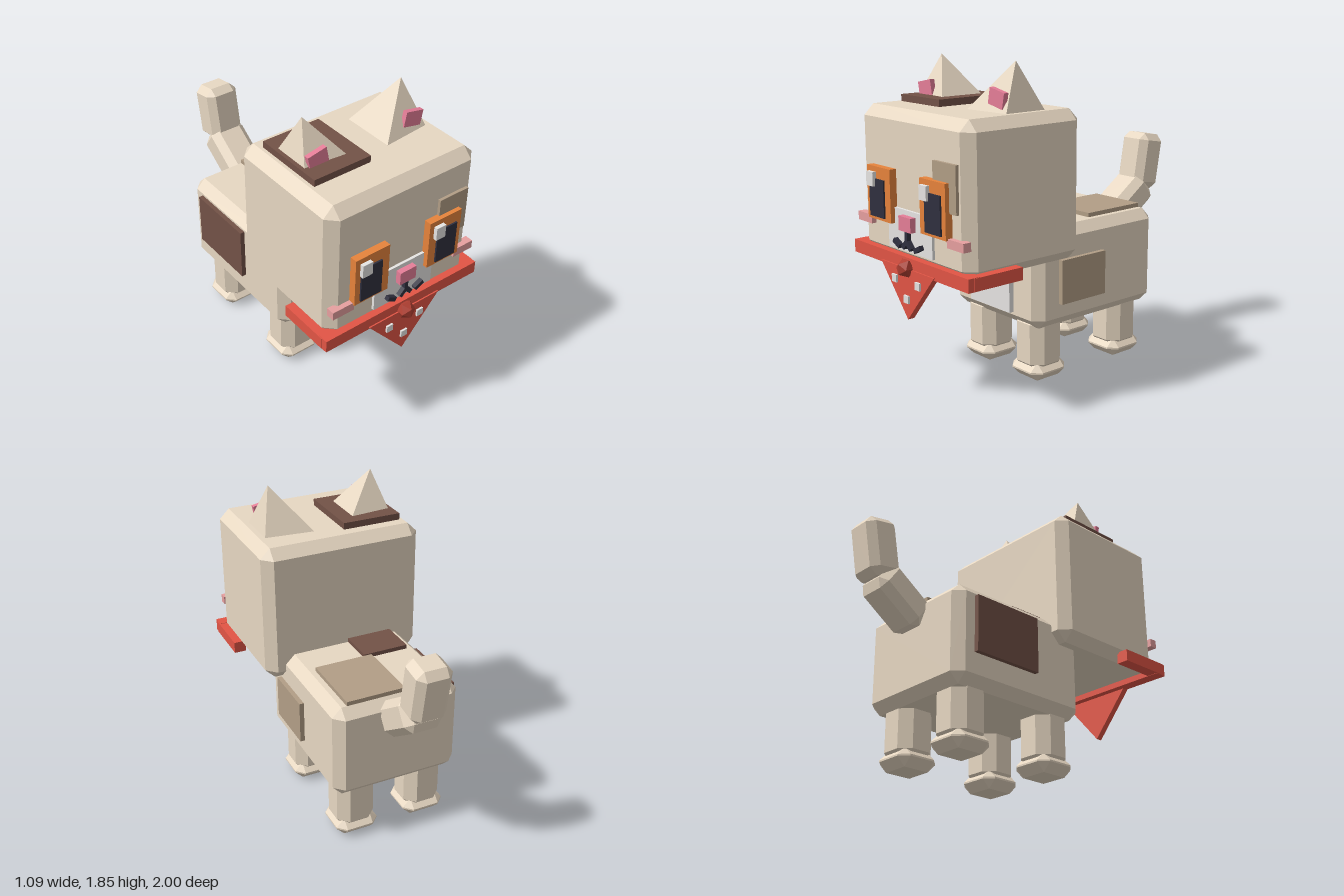
import * as THREE from 'three';
import { ConvexGeometry } from 'three/addons/geometries/ConvexGeometry.js';

const paint = (name, color) => {
  const m = new THREE.MeshStandardMaterial({ color });
  m.name = name;
  return m;
};

export function createModel() {
  const cat = new THREE.Group();
  cat.name = 'blockCat';

  const cream = paint('cream fur', 0xeedec8);
  const brown = paint('dark brown patch', 0x735247);
  const tan = paint('tan patch', 0xb29e86);
  const orange = paint('orange iris', 0xe8843c);
  const navy = paint('dark navy', 0x30303f);
  const white = paint('white', 0xf0eeec);
  const pink = paint('pink', 0xe67e98);
  const blush = paint('blush', 0xf2a8a8);
  const red = paint('scarf red', 0xe25545);
  const knotRed = paint('knot red', 0xb03f32);

  const add = (name, geometry, material, x = 0, y = 0, z = 0) => {
    const mesh = new THREE.Mesh(geometry, material);
    mesh.name = name;
    mesh.position.set(x, y, z);
    cat.add(mesh);
    return mesh;
  };

  // Plain box given by its extents on each axis
  const slab = (name, material, [x0, x1], [y0, y1], [z0, z1]) =>
    add(name, new THREE.BoxGeometry(x1 - x0, y1 - y0, z1 - z0), material,
      (x0 + x1) / 2, (y0 + y1) / 2, (z0 + z1) / 2);

  // Box with bevelled edges and triangular corners
  const chamferBox = (w, h, d, c) => {
    const pts = [];
    for (const sx of [-1, 1]) for (const sy of [-1, 1]) for (const sz of [-1, 1]) {
      for (let k = 0; k < 3; k++) {
        const cut = [c, c, c];
        cut[k] = 0;
        pts.push(new THREE.Vector3(
          sx * (w / 2 - cut[0]), sy * (h / 2 - cut[1]), sz * (d / 2 - cut[2])));
      }
    }
    return new ConvexGeometry(pts);
  };

  // Body and head
  add('body', chamferBox(0.78, 0.58, 0.95, 0.057), cream, 0, 0.62, -0.135);
  add('head', chamferBox(1, 0.84, 0.8, 0.06), cream, 0, 1.17, 0.5);
  slab('belly', white, [-0.18, 0.18], [0.405, 0.75], [0.33, 0.372]);

  // Legs and paws
  for (const x of [-0.22, 0.22]) for (const z of [-0.435, 0.185]) {
    add('leg', chamferBox(0.235, 0.36, 0.235, 0.06), cream, x, 0.22, z);
    add('paw', chamferBox(0.262, 0.11, 0.262, 0.05), cream, x, 0.055, z);
  }

  // Tail
  add('tailBase', chamferBox(0.235, 0.35, 0.207, 0.045), cream, 0, 0.878, -0.726).rotation.x = -0.96;
  add('tailTip', chamferBox(0.215, 0.35, 0.203, 0.042), cream, 0, 1.124, -0.883).rotation.x = -0.17;

  // Fur patches
  slab('sidePatchLeft', tan, [0.38, 0.418], [0.47, 0.73], [-0.16, 0.18]);
  slab('sidePatchRight', brown, [-0.418, -0.38], [0.51, 0.84], [-0.04 - 0.45, -0.04]);
  slab('backPatchRear', tan, [-0.06, 0.3], [0.9, 0.935], [-0.553, -0.135]);
  slab('backPatchFront', brown, [-0.3, -0.02], [0.9, 0.935], [-0.125, 0.14]);
  slab('crownPatch', brown, [-0.42, -0.055], [1.58, 1.63], [0.225, 0.665]);
  slab('browPatch', tan, [0.225, 0.425], [1.105, 1.365], [0.89, 0.918]);

  // Ears, with pink inner plates
  for (const s of [-1, 1]) {
    const ear = [[0.33, 1.853, 0.44], [0.11, 1.585, 0.275], [0.11, 1.585, 0.605],
      [0.41, 1.585, 0.305], [0.41, 1.585, 0.575]];
    add('ear', new ConvexGeometry(ear.map(([x, y, z]) => new THREE.Vector3(s * x, y, z))), cream);
    add('innerEar', new THREE.BoxGeometry(0.12, 0.09, 0.03), pink, s * 0.32, 1.663, 0.555)
      .rotation.z = -s * 0.2;
  }

  // Eyes and cheeks; both glints sit on the same side
  for (const s of [-1, 1]) {
    const x = s * 0.2525;
    slab('iris', orange, [x - 0.113, x + 0.113], [0.965, 1.265], [0.89, 0.943]);
    slab('pupil', navy, [s * 0.262 - 0.07, s * 0.262 + 0.07], [0.983, 1.197], [0.93, 0.953]);
    slab('eyeGlint', white, [x - 0.085, x - 0.02], [1.155, 1.235], [0.945, 0.968]);
    slab('cheek', blush, [s * 0.425 - 0.07, s * 0.425 + 0.07], [0.925, 0.975], [0.88, 0.93]);
  }

  // Muzzle, nose and mouth
  slab('muzzle', white, [-0.205, 0.205], [0.825, 1.055], [0.89, 0.916]);
  slab('nose', pink, [-0.056, 0.056], [0.947, 1.028], [0.9, 0.95]);
  slab('mouthLine', navy, [-0.011, 0.011], [0.875, 0.95], [0.91, 0.943]);
  const stroke = (x0, y0, x1, y1) => {
    const length = Math.hypot(x1 - x0, y1 - y0);
    add('mouthStroke', new THREE.BoxGeometry(length, 0.026, 0.03), navy,
      (x0 + x1) / 2, (y0 + y1) / 2, 0.928).rotation.z = Math.atan2(y1 - y0, x1 - x0);
  };
  for (const s of [-1, 1]) {
    stroke(0, 0.888, s * 0.038, 0.85);
    stroke(s * 0.07, 0.85, s * 0.125, 0.878);
  }

  // Scarf: front band, side bands, hanging triangle, dots and knot
  slab('scarfFront', red, [-0.54, 0.54], [0.725, 0.8], [0.86, 0.935]);
  for (const s of [-1, 1]) {
    slab('scarfSide', red, [s * 0.507 - 0.037, s * 0.507 + 0.037], [0.727, 0.798], [0.58, 0.9]);
  }
  const flap = new THREE.Shape([[-0.25, 0.74], [0, 0.45], [0.25, 0.74]]
    .map(([x, y]) => new THREE.Vector2(x, y)));
  add('scarfFlap', new THREE.ExtrudeGeometry(flap, { depth: 0.04, bevelEnabled: false }), red, 0, 0, 0.903);
  for (const [x, y] of [[-0.11, 0.665], [0.11, 0.665], [0, 0.567]]) {
    add('scarfDot', new THREE.BoxGeometry(0.043, 0.043, 0.02), white, x, y, 0.945);
  }
  add('scarfKnot', new THREE.IcosahedronGeometry(0.055, 0), knotRed, 0, 0.745, 0.95);

  return cat;
}
